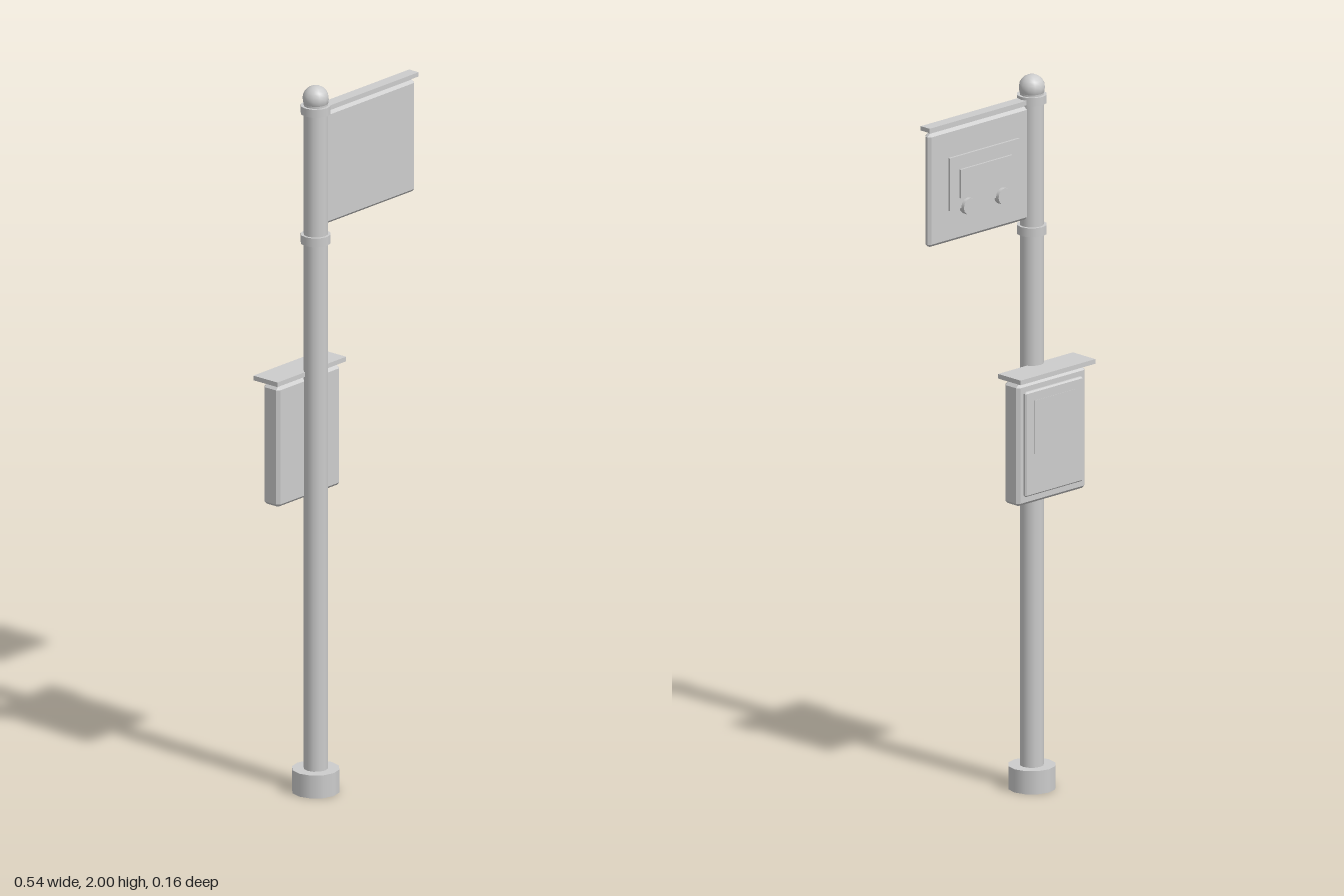
import * as THREE from 'three';
import { ConvexGeometry } from 'three/addons/geometries/ConvexGeometry.js';

const SIDES = 12;
const POLE_X = -0.13, POLE_Z = 0.015;

// Box given by its limits, with every edge cut by a chamfer
function chamferBox([x0, x1], [y0, y1], [z0, z1], c) {
  const half = [(x1 - x0) / 2, (y1 - y0) / 2, (z1 - z0) / 2];
  const points = [];
  for (const sx of [-1, 1]) for (const sy of [-1, 1]) for (const sz of [-1, 1]) {
    for (let axis = 0; axis < 3; axis++) {
      const [x, y, z] = half.map((h, i) => (i === axis ? h : h - c));
      points.push(new THREE.Vector3(sx * x, sy * y, sz * z));
    }
  }
  return new ConvexGeometry(points).translate((x0 + x1) / 2, (y0 + y1) / 2, (z0 + z1) / 2);
}

// Plain box given by its limits
function box([x0, x1], [y0, y1], [z0, z1]) {
  return new THREE.BoxGeometry(x1 - x0, y1 - y0, z1 - z0)
    .translate((x0 + x1) / 2, (y0 + y1) / 2, (z0 + z1) / 2);
}

// Upright cylinder on the pole's axis
function ring(radius, y0, y1) {
  return new THREE.CylinderGeometry(radius, radius, y1 - y0, SIDES)
    .translate(POLE_X, (y0 + y1) / 2, POLE_Z);
}

export function createModel() {
  const model = new THREE.Group();
  model.name = 'busStopSign';
  const grey = new THREE.MeshStandardMaterial({ color: 0xcccccc });
  grey.name = 'grey';

  const add = (name, geometry, parent = model) => {
    const mesh = new THREE.Mesh(geometry, grey);
    mesh.name = name;
    parent.add(mesh);
  };
  const group = (name) => {
    const g = new THREE.Group();
    g.name = name;
    model.add(g);
    return g;
  };

  // Post with foot, collars and ball finial
  const post = group('post');
  add('foot', ring(0.065, 0, 0.065), post);
  add('pole', ring(0.033, 0.06, 1.96), post);
  add('lowerCollar', ring(0.041, 1.555, 1.58), post);
  add('upperCollar', ring(0.041, 1.922, 1.945), post);
  add('finial', new THREE.SphereGeometry(0.036, SIDES, 10).translate(POLE_X, 1.964, POLE_Z), post);

  // Flag sign with its cap rail
  const sign = group('flagSign');
  add('signPanel', chamferBox([-0.12, 0.265], [1.6, 1.917], [0.003, 0.027], 0.008), sign);
  add('signCap', box([-0.12, 0.27], [1.925, 1.937], [-0.002, 0.032]), sign);
  add('capSpacer', box([-0.11, 0.255], [1.914, 1.927], [0.011, 0.019]), sign);

  // Raised bus pictogram on the back of the sign
  const bus = group('busPictogram');
  add('busBody', box([-0.066, 0.195], [1.69, 1.838], [-0.004, 0.006]), bus);
  add('busWindow', box([-0.033, 0.16], [1.72, 1.8], [-0.01, 0]), bus);
  for (const x of [0, 0.13]) {
    add('busWheel', new THREE.CylinderGeometry(0.023, 0.023, 0.018, SIDES)
      .rotateX(Math.PI / 2).translate(x, 1.692, -0.005), bus);
  }

  // Timetable case behind the pole
  const board = group('timetableCase');
  add('caseBody', chamferBox([-0.258, -0.003], [0.83, 1.17], [-0.063, -0.006], 0.008), board);
  add('caseDoor', chamferBox([-0.238, -0.023], [0.855, 1.148], [-0.072, -0.058], 0.004), board);
  add('notice', box([-0.205, -0.055], [0.97, 1.12], [-0.073, -0.07]), board);
  add('caseNeck', box([-0.24, -0.02], [1.165, 1.182], [-0.055, -0.015]), board);
  add('caseRoof', box([-0.272, 0.008], [1.179, 1.192], [-0.083, 0.003]), board);

  return model;
}
